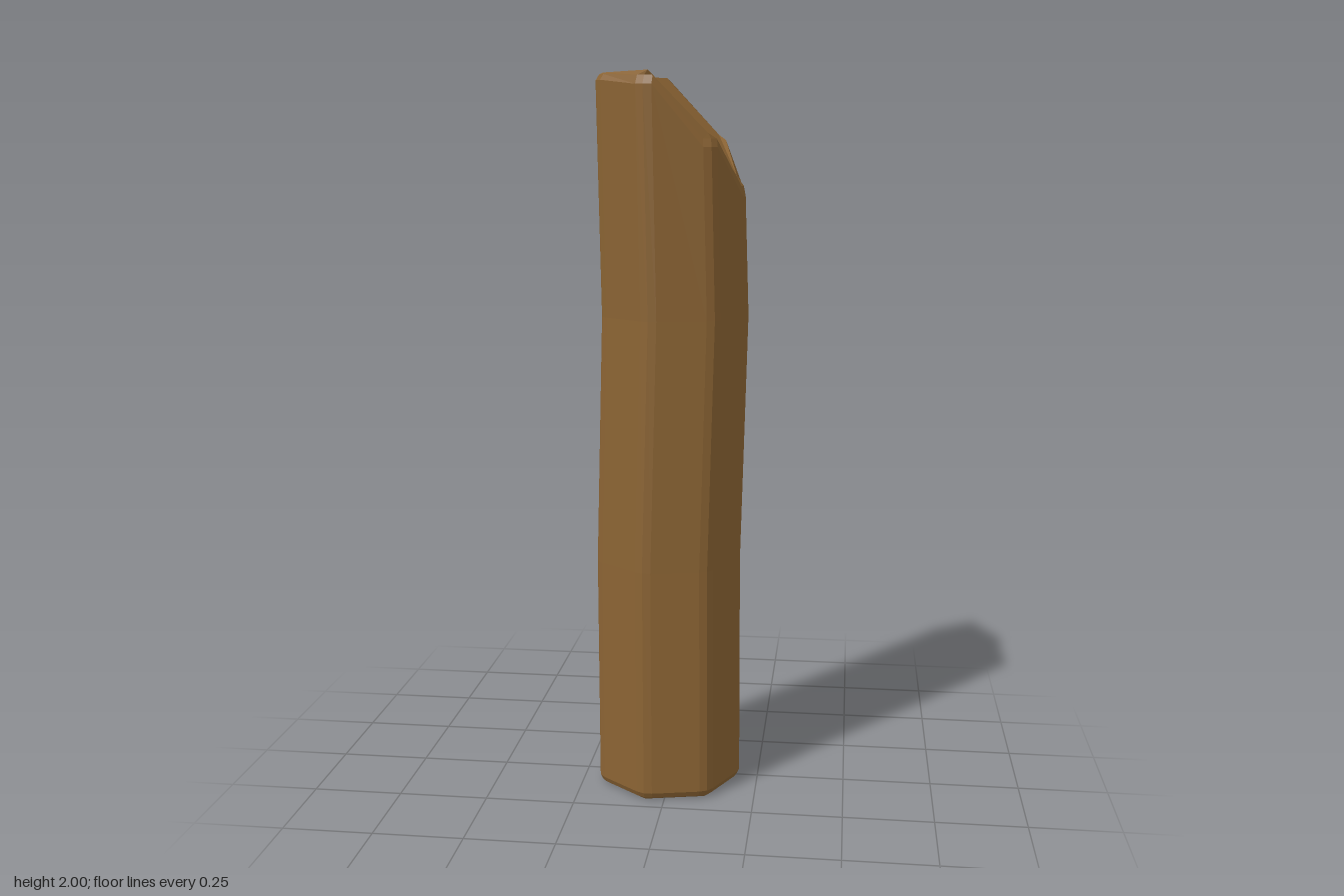
import * as THREE from 'three';

const SIDES = 7, R = 0.213, ROUND = 0.025;
const STEP = (Math.PI * 2) / SIDES;
const at = (k, r) => new THREE.Vector2(Math.cos(k * STEP) * r, Math.sin(k * STEP) * r);

// Three points for each softened corner of the heptagon
function profile() {
  const pts = [];
  for (let k = 0; k < SIDES; k++) {
    const v = at(k, R);
    const toward = (n) => v.clone().add(at(n, R).sub(v).setLength(ROUND));
    pts.push(toward(k - 1), at(k, R - 0.0056), toward(k + 1));
  }
  return pts;
}

// Triangle list with either face normals or one shared normal
function mesh(name, tris, material, normal) {
  const geo = new THREE.BufferGeometry().setFromPoints(tris);
  geo.computeVertexNormals();
  if (normal) {
    const n = geo.attributes.normal;
    for (let i = 0; i < n.count; i++) n.setXYZ(i, normal.x, normal.y, normal.z);
  }
  const m = new THREE.Mesh(geo, material);
  m.name = name;
  return m;
}

// Joins two equal loops of points, the lower one first
function band(lower, upper) {
  const tris = [];
  lower.forEach((a, i) => {
    const j = (i + 1) % lower.length;
    const b = lower[j], c = upper[j], d = upper[i];
    if (c.distanceTo(d) > 1e-6) tris.push(a, d, c);
    if (a.distanceTo(b) > 1e-6) tris.push(a, c, b);
  });
  return tris;
}

export function createModel() {
  const group = new THREE.Group();
  group.name = 'woodenPost';
  const wood = new THREE.MeshStandardMaterial({ color: 0x8a6333 });
  wood.name = 'brown wood';

  const outline = profile();
  const ring = (cx, cz, y, s = 1) => outline.map((p, i) => new THREE.Vector3(
    cx + p.x * s, typeof y === 'number' ? y : y[Math.floor(i / 3)], cz + p.y * s));
  const triple = (corners) => corners.flatMap((c) => [c, c, c]);

  // Corner heights of the slanted cut, starting at +x
  const rimLow = [1.675, 1.805, 1.965, 1.98, 1.98, 1.965, 1.805];
  const rimMid = [1.703, 1.827, 1.988, 1.995, 1.995, 1.988, 1.827];

  // Sharp heptagons for the two ends
  const topEnd = [[0.176, 1.73, 0], [0.112, 1.842, 0.157], [-0.04, 2, 0.2], [-0.174, 2, 0.087],
    [-0.174, 2, -0.087], [-0.04, 2, -0.2], [0.112, 1.842, -0.157]].map((p) => new THREE.Vector3(...p));
  const bottomEnd = [...Array(SIDES).keys()].map((k) => {
    const p = at(k, R - 0.02);
    return new THREE.Vector3(p.x - 0.01, 0, p.y + 0.01);
  });

  // Slightly bent trunk with bevelled ends
  const loops = [
    triple(bottomEnd),
    ring(-0.01, 0.01, 0.007, 0.965),
    ring(-0.01, 0.01, 0.022),
    ring(-0.014, -0.001, 0.66),
    ring(0.003, -0.01, 1.35),
    ring(-0.007, 0, rimLow),
    ring(-0.005, 0, rimMid, 0.965),
    triple(topEnd),
  ];
  const trunk = [];
  for (let i = 0; i + 1 < loops.length; i++) trunk.push(...band(loops[i], loops[i + 1]));
  group.add(mesh('trunk', trunk, wood));

  // Flat foot
  const foot = [];
  for (let i = 1; i < SIDES - 1; i++) foot.push(bottomEnd[0], bottomEnd[i], bottomEnd[i + 1]);
  group.add(mesh('foot', foot, wood));

  // Slanted cut, folded slightly inward and shaded as one face
  const cut = [[0, 6, 1], [1, 6, 3], [3, 6, 4], [1, 3, 2], [4, 6, 5]].flat().map((i) => topEnd[i]);
  const normal = new THREE.Vector3();
  topEnd.forEach((p, i) => normal.add(topEnd[(i + 1) % SIDES].clone().cross(p)));
  group.add(mesh('slantedCut', cut, wood, normal.normalize()));

  return group;
}
